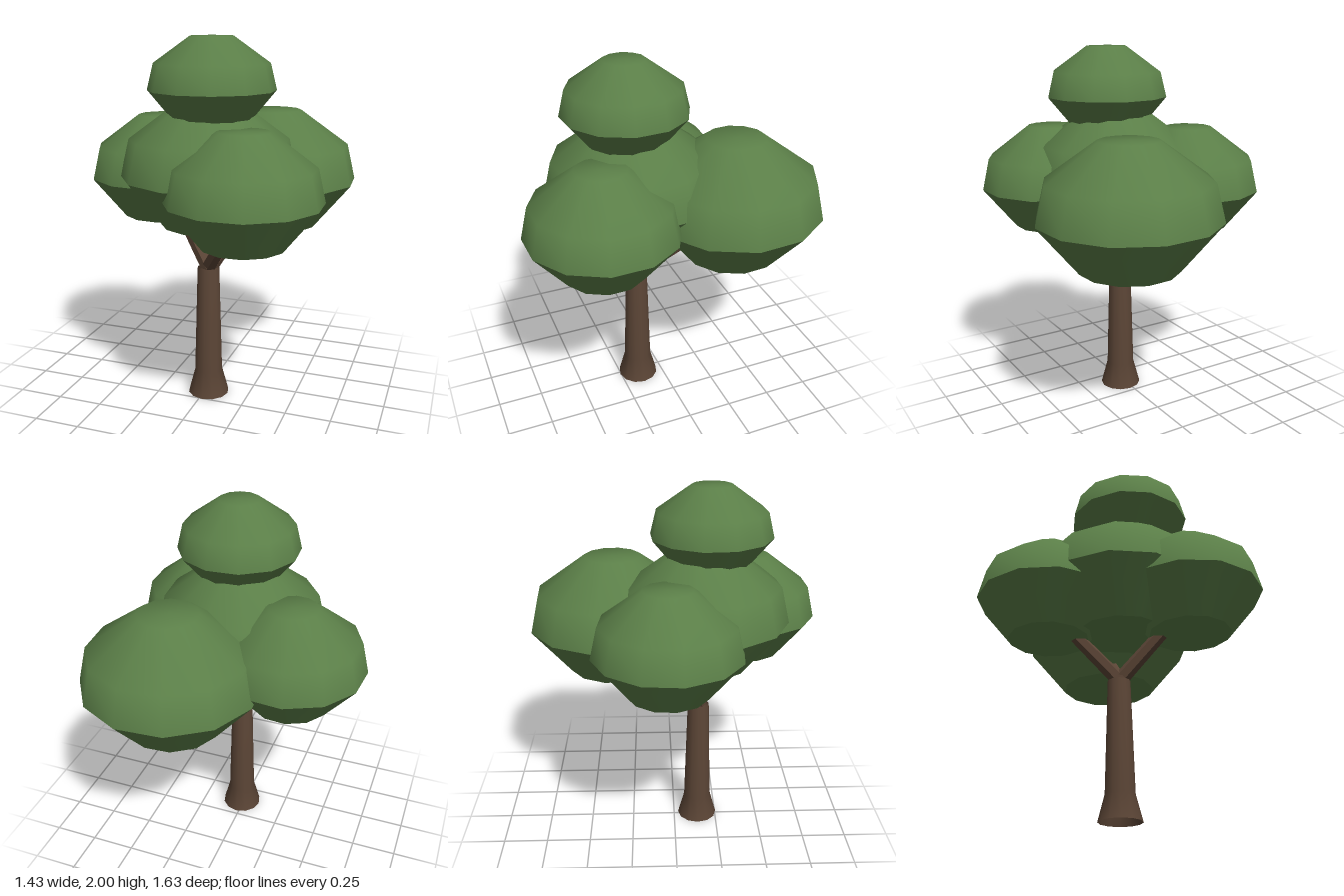
import * as THREE from 'three';
import { mergeGeometries } from 'three/addons/utils/BufferGeometryUtils.js';

const leafGreen = new THREE.MeshStandardMaterial({ color: 0x5b7f48 });
leafGreen.name = 'leafGreen';
const barkBrown = new THREE.MeshStandardMaterial({ color: 0x5a4435, side: THREE.DoubleSide });
barkBrown.name = 'barkBrown';
const branchBrown = barkBrown;

const SIDES = 12;
const lathe = (profile, turn = 0) =>
  new THREE.LatheGeometry(profile.map(([r, y]) => new THREE.Vector2(r, y)), SIDES, -THREE.MathUtils.degToRad(turn));

// Leaf clump: flat base, flared skirt and smooth dome, with a crease at each rim
function clump(name, { x, z, r, base, rim, top, turn }) {
  const geometry = mergeGeometries([
    lathe([[0, base], [r * 0.55, base]], turn),
    lathe([[r * 0.55, base], [r, rim]], turn),
    lathe([[r, rim], [r * 0.9, rim + (top - rim) * 0.5], [r * 0.33, top], [0, top]], turn),
  ]);
  const mesh = new THREE.Mesh(geometry, leafGreen);
  mesh.name = name;
  mesh.position.set(x, 0, z);
  return mesh;
}

// Tapered six-sided branch between two points
function branch(name, from, to) {
  const a = new THREE.Vector3(...from), b = new THREE.Vector3(...to);
  const dir = b.clone().sub(a);
  const geometry = new THREE.CylinderGeometry(0.034, 0.042, dir.length(), 6).toNonIndexed();
  geometry.computeVertexNormals();
  const mesh = new THREE.Mesh(geometry, branchBrown);
  mesh.name = name;
  mesh.position.copy(a).add(b).multiplyScalar(0.5);
  mesh.quaternion.setFromUnitVectors(new THREE.Vector3(0, 1, 0), dir.normalize());
  return mesh;
}

export function createModel() {
  const tree = new THREE.Group();
  tree.name = 'tree';

  // Trunk with a flared, open foot
  const trunk = new THREE.Mesh(lathe([[0.115, 0], [0.078, 0.14], [0.061, 0.75], [0, 0.75]]), barkBrown);
  trunk.name = 'trunk';
  trunk.position.set(0.018, 0, 0.14);
  tree.add(trunk);

  // Three branches spreading from the trunk top
  tree.add(
    branch('frontBranch', [0.01, 0.74, 0.13], [0.285, 1.15, 0.395]),
    branch('sideBranch', [0.03, 0.74, 0.15], [-0.29, 1.15, -0.04]),
    branch('backBranch', [0.02, 0.74, 0.15], [0.21, 1.1, -0.3]),
  );

  // Five overlapping leaf clumps
  tree.add(
    clump('frontClump', { x: 0.3, z: 0.415, r: 0.405, base: 0.985, rim: 1.21, top: 1.56, turn: 13 }),
    clump('backClump', { x: 0.24, z: -0.34, r: 0.485, base: 0.91, rim: 1.175, top: 1.575, turn: 11 }),
    clump('sideClump', { x: -0.32, z: -0.04, r: 0.405, base: 0.99, rim: 1.215, top: 1.56, turn: 20 }),
    clump('middleClump', { x: 0.03, z: 0.16, r: 0.47, base: 1.01, rim: 1.275, top: 1.67, turn: 10 }),
    clump('topClump', { x: 0.06, z: 0.2, r: 0.332, base: 1.55, rim: 1.73, top: 2, turn: 11 }),
  );
  return tree;
}
